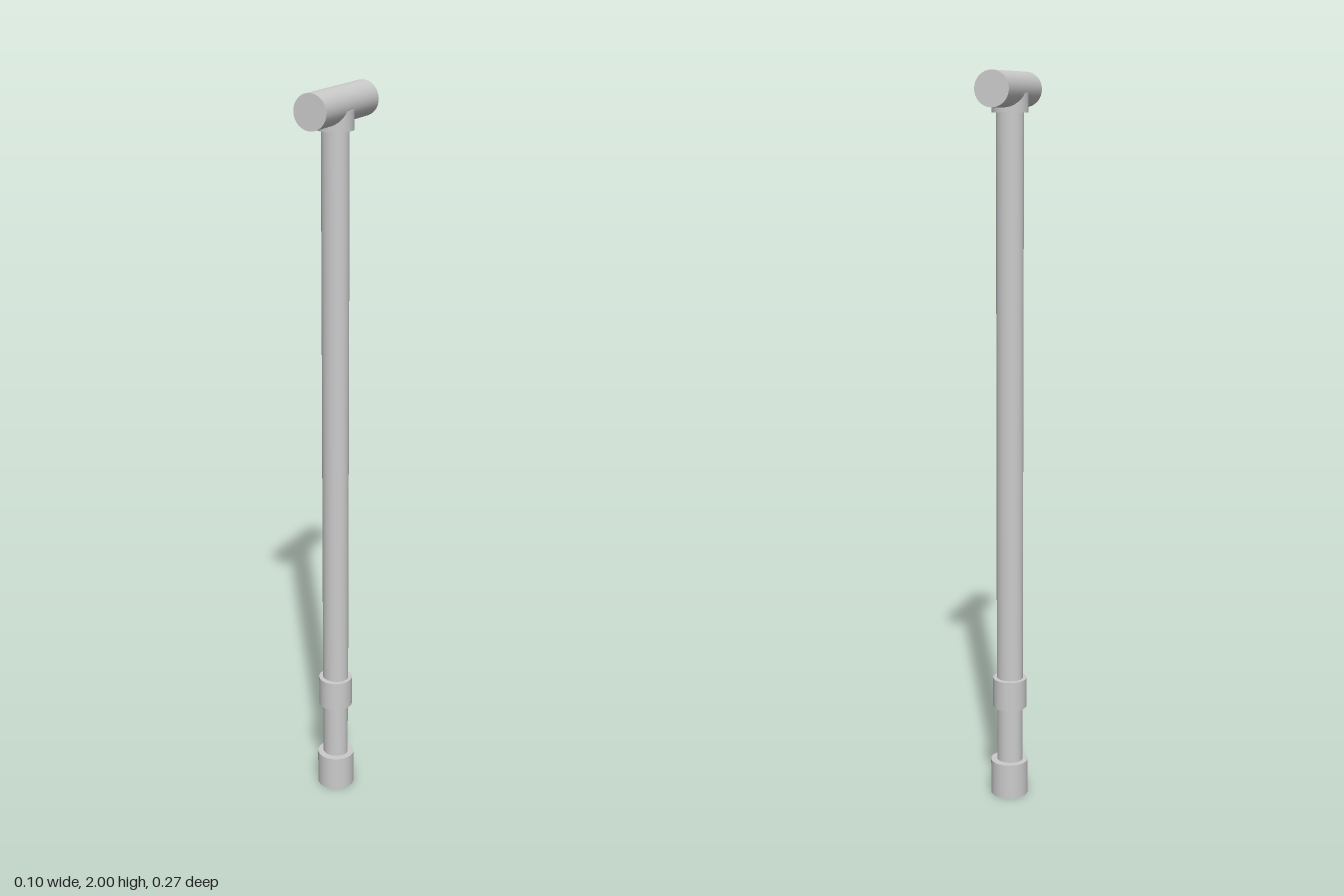
import * as THREE from 'three';

export function createModel() {
  const group = new THREE.Group();
  group.name = 'tHandledPole';
  const material = new THREE.MeshStandardMaterial({ color: 0xcccccc });
  const AXIS_X = -0.001, AXIS_Z = 0.011; // the pole sits slightly forward of the handle's middle

  // Upright round section between two heights; depth flattens it along z
  function section(name, radius, bottom, top, depth = 1, x = AXIS_X) {
    const geometry = new THREE.CylinderGeometry(radius, radius, top - bottom, 32);
    geometry.scale(1, 1, depth);
    const mesh = new THREE.Mesh(geometry, material);
    mesh.name = name;
    mesh.position.set(x, (bottom + top) / 2, AXIS_Z);
    group.add(mesh);
  }

  section('footCap', 0.052, 0, 0.1, 1, 0);
  section('lowerShaft', 0.036, 0.1, 0.26, 0.9);
  section('lockingCollar', 0.047, 0.26, 0.345);
  section('upperShaft', 0.037, 0.345, 1.9, 0.88);
  section('handleSocket', 0.048, 1.895, 1.945); // its top merges into the handle

  // Crossbar grip running front to back
  const handle = new THREE.Mesh(new THREE.CylinderGeometry(0.046, 0.046, 0.274, 32), material);
  handle.name = 'handle';
  handle.rotation.x = Math.PI / 2;
  handle.position.set(-0.002, 1.954, 0);
  group.add(handle);

  return group;
}
